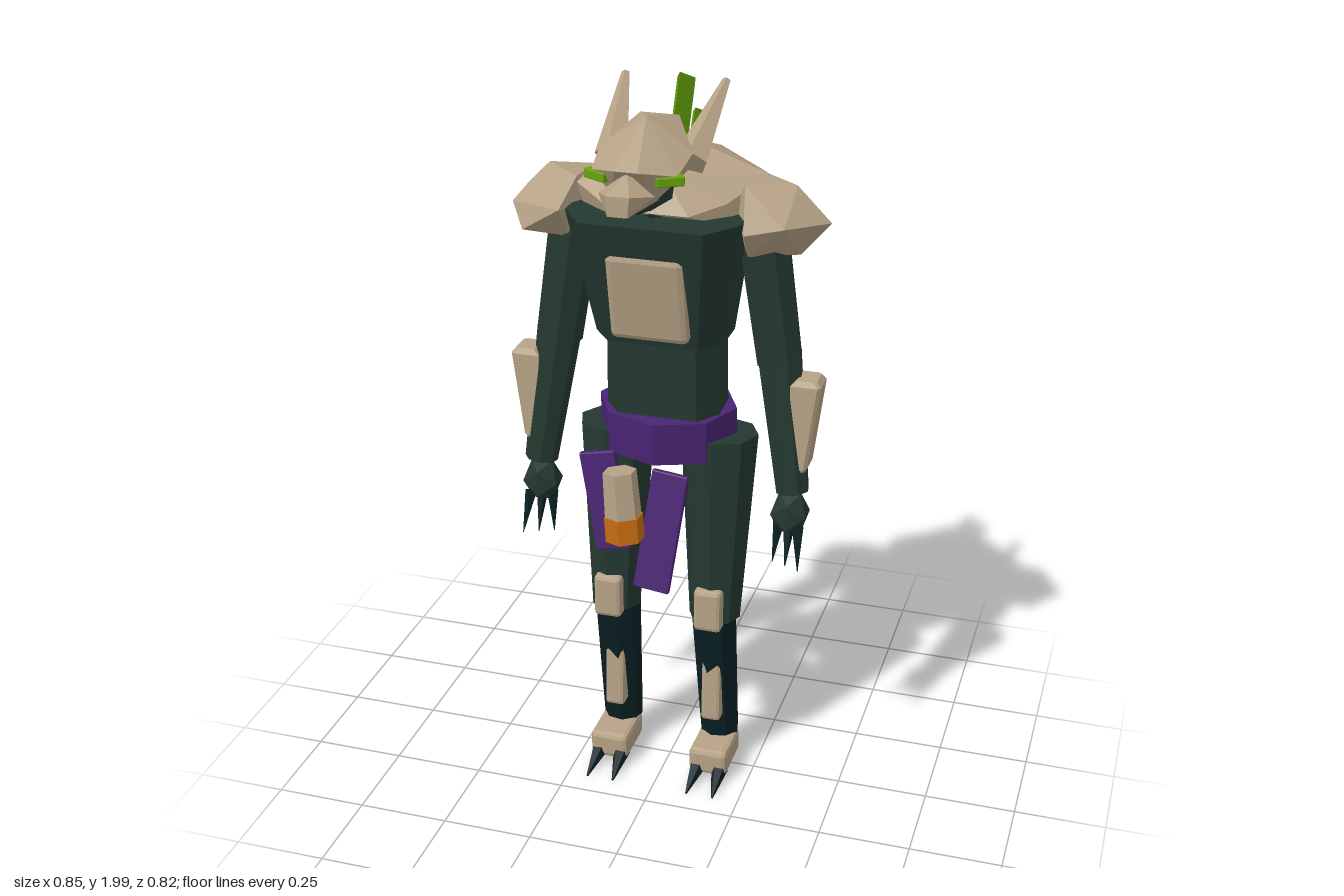
import * as THREE from 'three';
import { ConvexGeometry } from 'three/addons/geometries/ConvexGeometry.js';
import { RoundedBoxGeometry } from 'three/addons/geometries/RoundedBoxGeometry.js';

function material(name, color) {
  const m = new THREE.MeshStandardMaterial({ color, flatShading: true });
  m.name = name;
  return m;
}

export function createModel() {
  const bone = material('bone', 0xb6a286);
  const suit = material('dark green suit', 0x243830);
  const dark = material('blue black', 0x0a2024);
  const purple = material('purple cloth', 0x4a2473);
  const green = material('bright green', 0x65a30d);
  const orange = material('orange', 0xc46a10);

  const model = new THREE.Group();
  model.name = 'creature';
  const V = (p) => new THREE.Vector3(...p);

  function add(name, geometry, mat, pos = [0, 0, 0], rot = [0, 0, 0]) {
    const mesh = new THREE.Mesh(geometry, mat);
    mesh.name = name;
    mesh.position.set(...pos);
    mesh.rotation.set(...rot);
    model.add(mesh);
    return mesh;
  }
  // Faceted solid around a few points
  const hull = (name, pts, mat) => add(name, new ConvexGeometry(pts.map(V)), mat);
  // Repeats points with x off centre on the other side
  const mirror = (pts) => pts.flatMap(([x, y, z]) => (x ? [[x, y, z], [-x, y, z]] : [[x, y, z]]));
  // Tapered prism from point a to point b
  function limb(name, a, b, ra, rb, sides, mat) {
    const dir = V(b).sub(V(a));
    const mesh = add(name, new THREE.CylinderGeometry(rb, ra, dir.length(), sides), mat);
    mesh.position.copy(V(a).add(V(b)).multiplyScalar(0.5));
    mesh.quaternion.setFromUnitVectors(new THREE.Vector3(0, 1, 0), dir.normalize());
    return mesh;
  }
  // Bevelled plate
  const plate = (name, size, mat, pos, rot, bevel = 0.01) =>
    add(name, new RoundedBoxGeometry(...size, 1, bevel), mat, pos, rot);
  // Eight-sided torso ring
  const ring = (y, rx, z, rz) => mirror([
    [rx, y, z + rz * 0.45], [rx * 0.7, y, z + rz], [rx, y, z - rz * 0.45], [rx * 0.7, y, z - rz],
  ]);

  // Torso
  hull('waist', [...ring(1.08, 0.155, 0, 0.1), ...ring(1.36, 0.15, 0.005, 0.105)], suit);
  hull('chest', [...ring(1.34, 0.172, 0.02, 0.12), ...ring(1.685, 0.228, 0.065, 0.172)], suit);
  plate('chestPlate', [0.21, 0.25, 0.045], bone, [0, 1.485, 0.172], [0.2, 0, 0], 0.018);
  hull('mantle', [
    [-0.04, 1.85, 0], [0.05, 1.84, -0.04], [0.02, 1.79, 0.11],
    [-0.215, 1.75, -0.15], [-0.085, 1.78, -0.235], [0.075, 1.77, -0.235], [0.21, 1.74, -0.15],
    [0.255, 1.765, -0.04], [0.18, 1.72, 0.09], [-0.215, 1.74, 0.085], [-0.1, 1.7, 0.16], [0.1, 1.7, 0.16],
    [-0.09, 1.66, -0.235], [0.08, 1.65, -0.23], [-0.19, 1.63, -0.12], [0.2, 1.63, -0.12],
    [0, 1.58, -0.11], [-0.2, 1.65, 0.06], [0.2, 1.65, 0.06],
  ], bone);
  hull('leftShoulder', [
    [0.427, 1.665, 0], [0.337, 1.755, 0], [0.35, 1.575, 0],
    ...[-1, 1].flatMap((s) => [
      [0.335, 1.68, 0.13 * s], [0.23, 1.65, 0.12 * s], [0.22, 1.765, 0.07 * s], [0.23, 1.58, 0.07 * s]]),
    [0.17, 1.68, 0],
  ], bone);
  hull('rightShoulder', [
    [-0.406, 1.675, -0.084], [-0.406, 1.66, 0.045], [-0.4, 1.58, 0], [-0.317, 1.76, 0],
    [-0.333, 1.67, -0.13], [-0.25, 1.68, -0.132], [-0.22, 1.74, -0.08], [-0.25, 1.675, 0.13],
    [-0.365, 1.6, 0.09], [-0.22, 1.75, 0.07], [-0.25, 1.58, 0.05], [-0.25, 1.58, -0.07], [-0.18, 1.66, 0],
  ], bone);

  // Neck and head
  limb('neck', [0, 1.66, 0.06], [0, 1.82, 0.15], 0.07, 0.055, 6, suit);
  hull('skull', mirror([
    [0, 1.955, 0.18], [0.05, 1.93, 0.07], [0, 1.87, 0.01], [0.05, 1.86, 0.025], [0.118, 1.87, 0.18],
    [0.108, 1.84, 0.28], [0.03, 1.86, 0.345], [0.1, 1.82, 0.14], [0.055, 1.775, 0.14], [0.055, 1.775, 0.27],
  ]), bone);
  hull('snout', mirror([
    [0.03, 1.82, 0.41], [0.025, 1.77, 0.41], [0.07, 1.805, 0.34], [0, 1.75, 0.31],
    [0, 1.855, 0.33], [0.05, 1.765, 0.24],
  ]), bone);
  hull('jaw', mirror([
    [0.045, 1.775, 0.18], [0.02, 1.765, 0.36], [0.03, 1.73, 0.2], [0.015, 1.74, 0.29],
  ]), suit);

  // Back spines, flattened diamond prisms
  for (const [y, z] of [[1.895, -0.13], [1.765, -0.275], [1.57, -0.322]]) {
    const spine = add('backSpine', new THREE.CylinderGeometry(0.066, 0.066, 0.15, 4), green, [0, y, z], [-0.44, 0, 0]);
    spine.scale.x = 0.37;
  }

  // Belt, cloth strips and flask
  add('belt', new THREE.CylinderGeometry(0.19, 0.19, 0.12, 8), purple, [0, 1.07, -0.005], [0.07, 0, 0])
    .scale.z = 0.79;
  plate('frontCloth', [0.1, 0.335, 0.02], purple, [0.021, 0.803, 0.135], [-0.19, 0, -0.11], 0.004);
  plate('sideCloth', [0.1, 0.28, 0.02], purple, [-0.14, 0.865, 0.115], [-0.1, 0, 0.2], 0.004);
  limb('flask', [-0.07, 0.85, 0.178], [-0.083, 0.985, 0.168], 0.05, 0.046, 6, bone);
  limb('flaskBase', [-0.064, 0.792, 0.184], [-0.07, 0.86, 0.178], 0.053, 0.053, 6, orange);

  for (const s of [1, -1]) {
    const side = s > 0 ? 'left' : 'right';
    const at = (x, y, z) => [s * x, y, z];

    // Eye and ear
    plate(side + 'Eye', [0.07, 0.024, 0.04], green, at(0.087, 1.83, 0.28), [0, s * 0.5, 0], 0.003);
    limb(side + 'Ear', at(0.1, 1.835, 0.14), at(0.132, 1.988, -0.068), 0.045, 0.011, 5, bone);

    // Arm
    limb(side + 'UpperArm', at(0.25, 1.63, -0.005), at(0.303, 1.28, 0), 0.068, 0.062, 8, suit);
    limb(side + 'Forearm', at(0.301, 1.31, 0), at(0.354, 0.925, 0.03), 0.06, 0.045, 8, suit);
    const guard = [];
    for (const [y, inner, outer, w] of [[1.25, 0.36, 0.412, 0.035], [1.235, 0.345, 0.424, 0.043],
      [1.0, 0.345, 0.394, 0.043], [0.98, 0.35, 0.382, 0.035]]) {
      for (const e of [-1, 1]) {
        guard.push(at(inner, y, 0.013 + e * w), at(outer, y, 0.013 + e * w * 0.8), at(outer - 0.008, y, 0.013 + e * w));
      }
    }
    hull(side + 'ArmGuard', guard, bone);

    // Hand and claws
    const hand = add(side + 'Hand', new THREE.IcosahedronGeometry(1, 0), suit, at(0.35, 0.862, 0.035));
    hand.scale.set(0.056, 0.07, 0.055);
    for (const i of [-1, 0, 1]) {
      limb(side + 'FingerClaw', at(0.35 + i * 0.028, 0.83, 0.045 + i * 0.01),
        at(0.35 + i * 0.039, 0.72, 0.08 + i * 0.018), 0.017, 0.001, 5, dark);
    }

    // Leg
    limb(side + 'Thigh', at(0.142, 1.055, -0.005), at(0.143, 0.51, 0.027), 0.106, 0.071, 8, suit);
    limb(side + 'Shin', at(0.14, 0.525, 0.024), at(0.146, 0.095, -0.035), 0.064, 0.055, 8, dark);
    plate(side + 'KneePad', [0.078, 0.125, 0.05], bone, at(0.143, 0.56, 0.088), [0, 0, 0], 0.012);
    plate(side + 'ShinPlate', [0.056, 0.195, 0.06], bone, at(0.142, 0.275, 0.029), [-0.04, 0, 0], 0.01);

    // Foot and toe claws
    plate(side + 'Foot', [0.11, 0.078, 0.156], bone, at(0.147, 0.063, 0.028), [0, 0, 0], 0.014);
    for (const i of [-1, 1]) {
      limb(side + 'ToeClaw', at(0.147 + i * 0.032, 0.042, 0.085), at(0.147 + i * 0.038, 0.008, 0.187),
        0.025, 0.003, 5, dark);
    }
  }

  model.position.x = -0.007;
  const root = new THREE.Group();
  root.name = 'model';
  root.add(model);
  return root;
}
